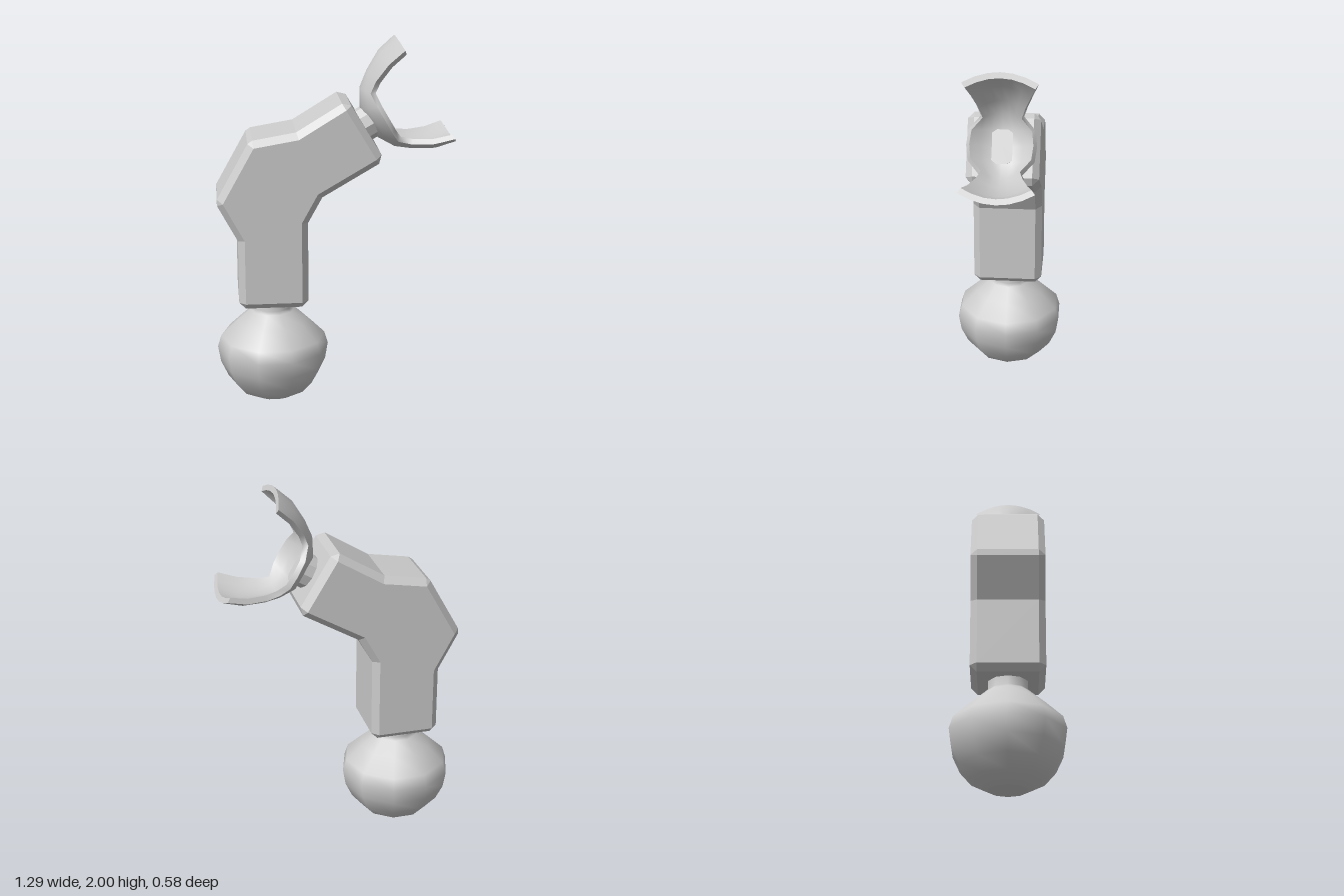
import * as THREE from 'three';
import { mergeGeometries } from 'three/addons/utils/BufferGeometryUtils.js';

const smooth = new THREE.MeshStandardMaterial({ color: 0xcccccc });
const flat = new THREE.MeshStandardMaterial({ color: 0xcccccc, flatShading: true });

function part(name, geometry, material) {
  const mesh = new THREE.Mesh(geometry, material);
  mesh.name = name;
  return mesh;
}

// Skin over rows of points, with smooth normals
function skin(rows) {
  const n = rows[0].length, index = [];
  for (let i = 0; i < rows.length - 1; i++) {
    for (let j = 0; j < n - 1; j++) {
      const a = i * n + j, b = a + n;
      index.push(a, a + 1, b, a + 1, b + 1, b);
    }
  }
  const g = new THREE.BufferGeometry().setFromPoints(rows.flat());
  g.setIndex(index);
  g.computeVertexNormals();
  return g;
}

// Slab from a counter-clockwise outline with chamfered edges and corners
function chamferedSlab(outline, halfDepth, c) {
  const pts = outline.map(([x, y]) => new THREE.Vector2(x, y));
  const n = pts.length;
  const normal = (a, b) => new THREE.Vector2(b.y - a.y, a.x - b.x).normalize();
  const inner = [], outer = [];
  pts.forEach((p, i) => {
    const n1 = normal(pts[(i + n - 1) % n], p), n2 = normal(p, pts[(i + 1) % n]);
    if (n1.cross(n2) > 0) { // convex: one point per neighbouring edge
      inner.push(p, p);
      outer.push(p.clone().addScaledVector(n1, c), p.clone().addScaledVector(n2, c));
    } else { // concave: single mitred point
      inner.push(p);
      outer.push(p.clone().addScaledVector(n1.clone().add(n2), c / (1 + n1.dot(n2))));
    }
  });
  const tris = [];
  const at = (p, z) => new THREE.Vector3(p.x, p.y, z);
  const tri = (a, b, d) => {
    if (b.clone().sub(a).cross(d.clone().sub(a)).length() > 1e-8) tris.push(a, b, d);
  };
  const loops = [[inner, halfDepth], [outer, halfDepth - c], [outer, c - halfDepth], [inner, -halfDepth]];
  for (let k = 0; k < 3; k++) {
    const [f, zf] = loops[k], [b, zb] = loops[k + 1];
    for (let i = 0; i < f.length; i++) {
      const j = (i + 1) % f.length;
      tri(at(f[i], zf), at(b[i], zb), at(b[j], zb));
      tri(at(f[i], zf), at(b[j], zb), at(f[j], zf));
    }
  }
  for (const [a, b, d] of THREE.ShapeUtils.triangulateShape(pts, [])) {
    tri(at(pts[a], halfDepth), at(pts[b], halfDepth), at(pts[d], halfDepth));
    tri(at(pts[a], -halfDepth), at(pts[d], -halfDepth), at(pts[b], -halfDepth));
  }
  const g = new THREE.BufferGeometry().setFromPoints(tris);
  g.computeVertexNormals();
  return g;
}

// Curved gripping shell: +x points away from the wrist, y runs prong to prong
function clawGeometry() {
  // midline x, y, then edge x, y, z, from palm to tip
  const half = [
    [0.02, 0, 0.1, 0, 0.18],
    [0.02, 0.095, 0.1, 0.08, 0.17],
    [0.073, 0.184, 0.105, 0.15, 0.11],
    [0.15, 0.243, 0.16, 0.195, 0.13],
    [0.258, 0.303, 0.262, 0.245, 0.165],
    [0.368, 0.325, 0.367, 0.27, 0.19],
  ];
  const mirrored = half.slice(1).reverse().map(([x, y, ex, ey, z]) => [x, -y, ex, -ey, z]);
  const across = [-1, -0.67, -0.33, 0, 0.33, 0.67, 1];
  const outer = [...mirrored, ...half].map(([x, y, ex, ey, z]) =>
    across.map(w => new THREE.Vector3(x + (ex - x) * w * w, y + (ey - y) * w * w, z * w)));
  const focus = new THREE.Vector3(0.34, 0, 0);
  const inner = outer.map(row => row.map(p =>
    p.clone().addScaledVector(focus.clone().sub(p).normalize(), 0.03)));
  const column = (rows, j) => rows.map(r => r[j]);
  const last = across.length - 1, end = outer.length - 1;
  return mergeGeometries([
    skin(outer),
    skin(inner.map(r => [...r].reverse())),
    skin([column(inner, last), column(outer, last)]),
    skin([column(outer, 0), column(inner, 0)]),
    skin([outer[end], inner[end]]),
    skin([inner[0], outer[0]]),
  ]);
}

export function createModel() {
  const model = new THREE.Group();
  model.name = 'arm';

  // Shoulder ball with its neck
  const ballProfile = [
    [0.1, 0], [0.19, 0.045], [0.25, 0.115], [0.29, 0.2], [0.305, 0.29],
    [0.285, 0.355], [0.195, 0.44], [0.12, 0.505], [0.105, 0.52], [0.105, 0.6],
  ].map(([r, y]) => new THREE.Vector2(r, y));
  const ball = part('shoulderBall', new THREE.LatheGeometry(ballProfile, 10, Math.PI / 2), smooth);
  const base = part('shoulderBallBase', new THREE.CircleGeometry(0.1, 10), flat);
  base.rotation.x = Math.PI / 2;
  ball.add(base);
  ball.position.x = -0.345;
  model.add(ball);

  // Bent arm
  model.add(part('bentArm', chamferedSlab([
    [-0.495, 0.6], [-0.193, 0.6], [-0.193, 1.045], [-0.108, 1.2], [0.2, 1.38],
    [0.04, 1.645], [-0.205, 1.495], [-0.44, 1.455], [-0.605, 1.16], [-0.495, 0.955],
  ], 0.19, 0.035), flat));

  // Hand: wrist peg and claw, tilted along the forearm
  const hand = new THREE.Group();
  hand.name = 'hand';
  hand.position.set(0.159, 1.532, 0);
  hand.rotation.z = Math.PI / 6;
  const wrist = part('wristPeg', new THREE.CylinderGeometry(0.093, 0.093, 0.1, 10), flat);
  wrist.rotation.z = -Math.PI / 2;
  wrist.position.x = 0.008;
  hand.add(wrist, part('claw', clawGeometry(), smooth));
  model.add(hand);

  return model;
}
